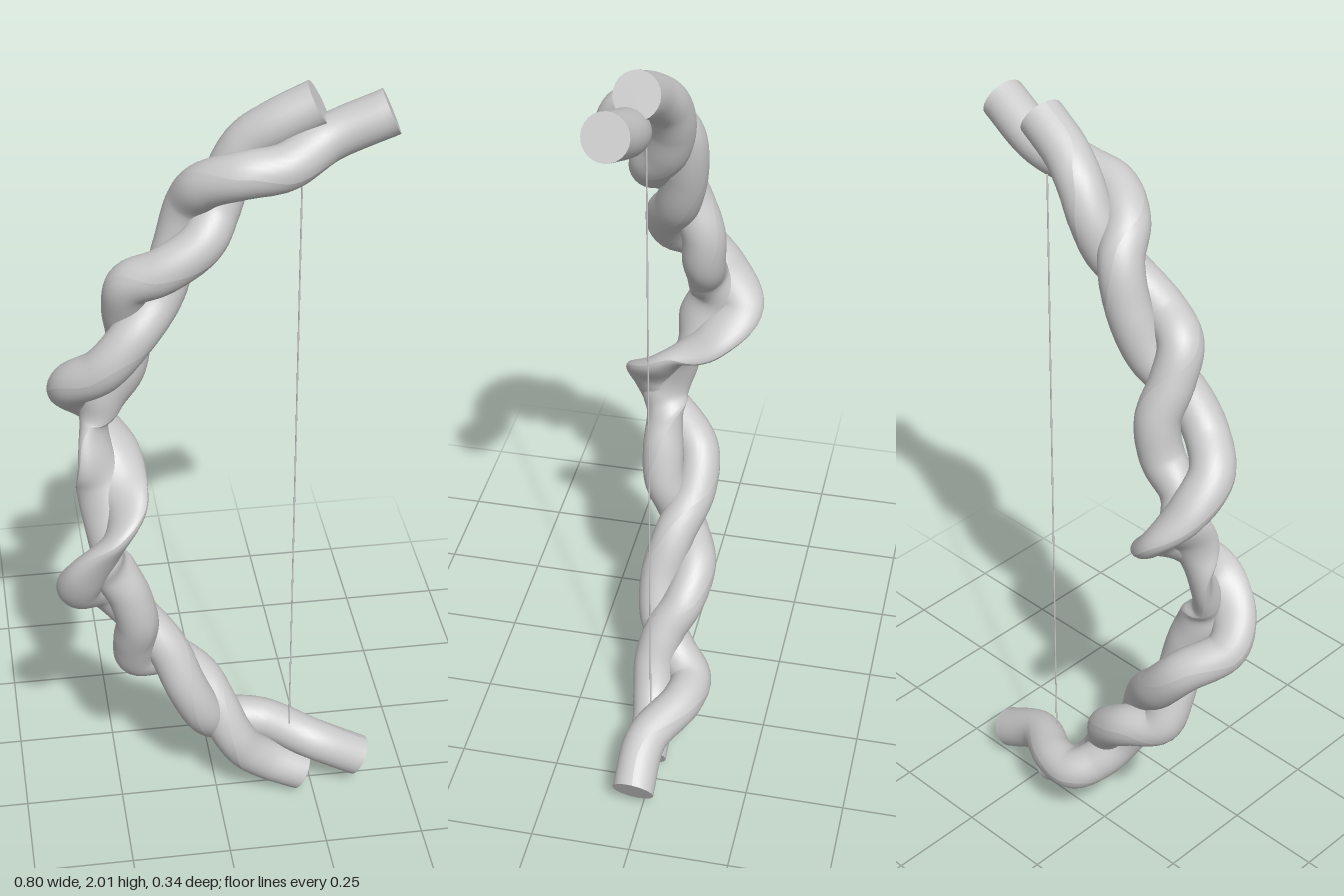
import * as THREE from 'three';

const V = (x, y, z) => new THREE.Vector3(x, y, z);
const material = new THREE.MeshStandardMaterial({ color: 0xcccccc, side: THREE.DoubleSide });

// Strand paths from the lower tip through the grip to the upper tip
const longPath = [
  [0.375, 0.073, 0.018], [0.25, 0.14, 0.01], [0.13, 0.17, -0.055], [0.05, 0.182, -0.063], [0, 0.22, -0.015],
  [-0.04, 0.29, 0.035], [-0.085, 0.39, 0.045], [-0.13, 0.5, 0.02], [-0.21, 0.595, -0.02], [-0.28, 0.68, -0.012],
  [-0.345, 0.74, 0.065], [-0.328, 0.81, 0.107], [-0.258, 0.905, 0.116], [-0.225, 0.963, 0.072],
  [-0.228, 1.01, 0.015],
  [-0.228, 1.06, -0.055], [-0.28, 1.13, -0.114], [-0.33, 1.21, -0.07], [-0.335, 1.28, 0], [-0.27, 1.34, 0.05],
  [-0.2, 1.42, 0.05], [-0.13, 1.5, 0.01], [-0.09, 1.61, -0.015], [-0.06, 1.72, -0.01], [-0.03, 1.785, 0.04],
  [0.05, 1.825, 0.085], [0.14, 1.837, 0.083], [0.24, 1.88, 0.043], [0.375, 1.94, 0.055],
];
const shortPath = [
  [0.22, 0.045, 0.02], [0.13, 0.093, 0.02], [0.075, 0.143, 0.03], [0.035, 0.21, 0.035], [0, 0.29, 0.015],
  [-0.04, 0.36, -0.025], [-0.12, 0.425, -0.04], [-0.2, 0.46, -0.005], [-0.21, 0.54, 0.03], [-0.205, 0.62, 0.06],
  [-0.225, 0.71, 0.068], [-0.255, 0.78, 0.07], [-0.275, 0.85, 0.07], [-0.28, 0.93, 0.035],
  [-0.28, 1.0, 0.015],
  [-0.285, 1.07, 0], [-0.285, 1.15, -0.045], [-0.265, 1.22, -0.035], [-0.215, 1.29, -0.035], [-0.2, 1.38, -0.035],
  [-0.21, 1.47, 0], [-0.2, 1.55, 0.035], [-0.13, 1.59, 0.06], [-0.04, 1.65, 0.05], [0, 1.71, 0.01],
  [0.03, 1.79, -0.01], [0.07, 1.86, -0.005], [0.13, 1.908, 0.012], [0.22, 1.957, 0.025],
];

const curve = (points) =>
  new THREE.CatmullRomCurve3(points.map((p) => V(...p)), false, 'centripetal');

// Sweep an oval along the path; it flattens at the grip and faces the other strand
function strand(path, other, name) {
  const STEPS = 220, SIDES = 24;
  const positions = [], indices = [];
  let rows = 0;
  const addRow = (points, joined) => {
    points.forEach((p) => positions.push(p.x, p.y, p.z));
    if (joined) {
      const a = (rows - 1) * (SIDES + 1), b = rows * (SIDES + 1);
      for (let j = 0; j < SIDES; j++) {
        indices.push(a + j, a + j + 1, b + j, a + j + 1, b + j + 1, b + j);
      }
    }
    rows++;
  };
  const cap = (ring, centre, first) => {
    const middle = ring.map(() => centre);
    addRow(first ? middle : ring, false);
    addRow(first ? ring : middle, true);
  };
  for (let i = 0; i <= STEPS; i++) {
    const t = i / STEPS;
    const c = path.getPoint(t);
    const tangent = path.getTangent(t);
    const u = c.clone().sub(other.getPoint(t));
    u.addScaledVector(tangent, -u.dot(tangent)).normalize();
    const v = tangent.clone().cross(u);
    const grip = 1 - THREE.MathUtils.smoothstep(Math.abs(c.y - 1), 0.06, 0.32);
    const ru = 0.053 + 0.006 * grip, rv = 0.053 - 0.025 * grip;
    const ring = [];
    for (let j = 0; j <= SIDES; j++) {
      const a = (j / SIDES) * Math.PI * 2;
      ring.push(c.clone().addScaledVector(u, ru * Math.cos(a)).addScaledVector(v, rv * Math.sin(a)));
    }
    if (i === 0) cap(ring, c, true);
    addRow(ring, i > 0);
    if (i === STEPS) cap(ring, c, false);
  }
  const geometry = new THREE.BufferGeometry();
  geometry.setAttribute('position', new THREE.Float32BufferAttribute(positions, 3));
  geometry.setIndex(indices);
  geometry.computeVertexNormals();
  const mesh = new THREE.Mesh(geometry, material);
  mesh.name = name;
  return mesh;
}

export function createModel() {
  const bow = new THREE.Group();
  bow.name = 'twistedBow';

  // Two intertwined wooden strands
  const a = curve(longPath), b = curve(shortPath);
  bow.add(strand(a, b, 'longStrand'), strand(b, a, 'shortStrand'));

  // Bowstring between the limbs
  const string = new THREE.Mesh(new THREE.CylinderGeometry(0.002, 0.002, 1.66, 8), material);
  string.name = 'bowstring';
  string.position.set(0.19, 1, 0.012);
  bow.add(string);
  return bow;
}
